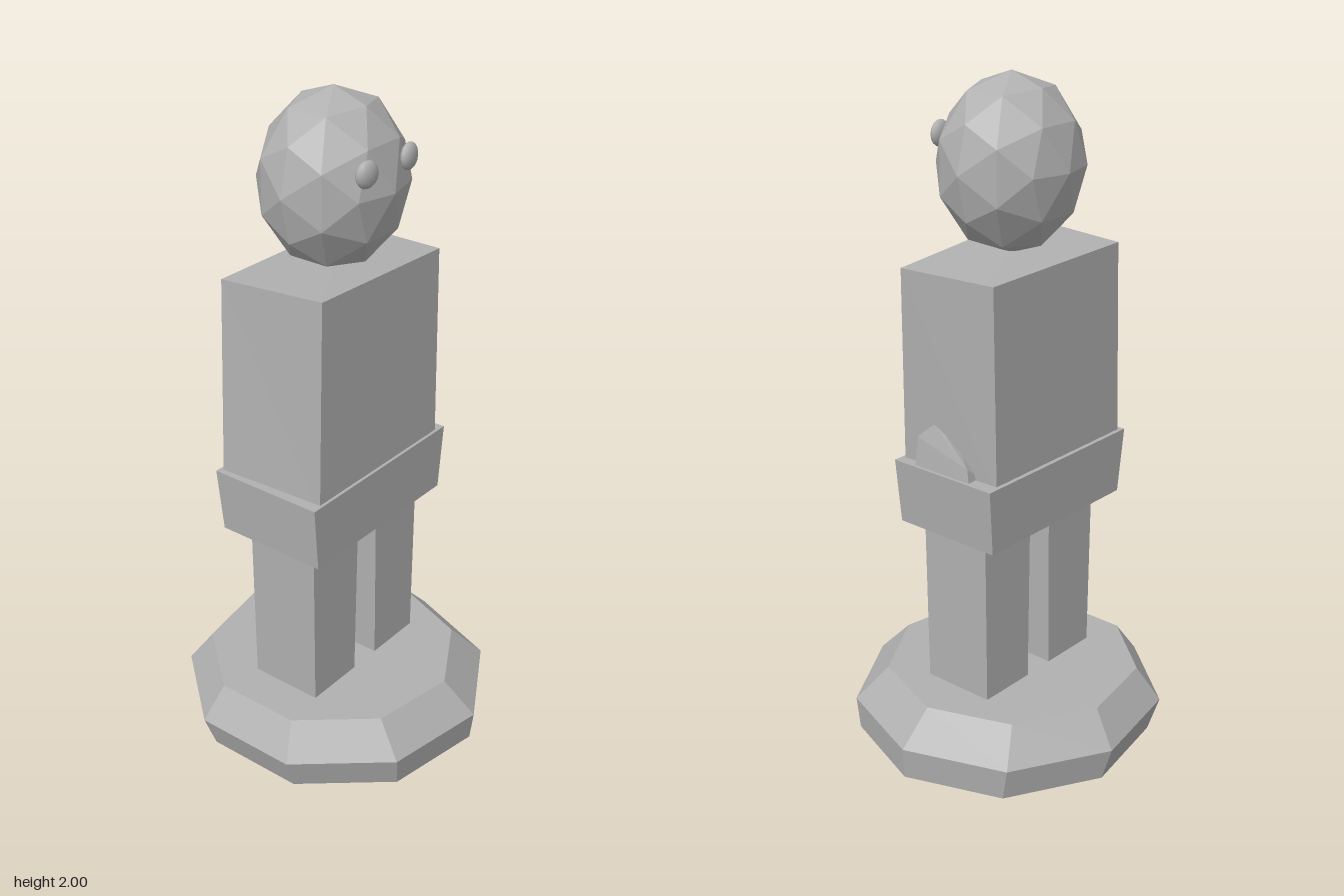
import * as THREE from 'three';
import { ConvexGeometry } from 'three/addons/geometries/ConvexGeometry.js';

// Closed faceted solid from stacked rings of [x, y, z], all with the same corner count,
// ordered from +x round towards +z
function loft(rings) {
  const out = [];
  const tri = (a, b, c) => out.push(...a, ...b, ...c);
  const n = rings[0].length;
  for (let r = 0; r < rings.length - 1; r++) {
    const lo = rings[r], hi = rings[r + 1];
    for (let i = 0; i < n; i++) {
      const j = (i + 1) % n;
      tri(lo[i], hi[i], hi[j]);
      tri(lo[i], hi[j], lo[j]);
    }
  }
  const bottom = rings[0], top = rings[rings.length - 1];
  for (let i = 1; i < n - 1; i++) {
    tri(bottom[0], bottom[i], bottom[i + 1]);
    tri(top[0], top[i + 1], top[i]);
  }
  const geo = new THREE.BufferGeometry();
  geo.setAttribute('position', new THREE.Float32BufferAttribute(out, 3));
  geo.computeVertexNormals();
  return geo;
}

// Rectangular ring at one height
const rect = (x0, x1, y, z0, z1) => [[x1, y, z0], [x1, y, z1], [x0, y, z1], [x0, y, z0]];

// Nine-sided ring at one height, slightly off centre
const ring9 = (radius, y, cx, cz) => Array.from({ length: 9 }, (_, i) => {
  const a = (i * 2 * Math.PI) / 9;
  return [cx + radius * Math.cos(a), y, cz + radius * Math.sin(a)];
});

export function createModel() {
  const group = new THREE.Group();
  const stone = new THREE.MeshStandardMaterial({ color: 0xb0b0b0 });
  stone.name = 'plain grey';
  const add = (name, geo) => {
    const mesh = new THREE.Mesh(geo, stone);
    mesh.name = name;
    group.add(mesh);
    return mesh;
  };

  // Bevelled round plinth
  add('plinth', loft([
    ring9(0.45, 0, 0.005, 0.005),
    ring9(0.473, 0.1, -0.008, 0),
    ring9(0.386, 0.2, -0.02, -0.008),
  ]));

  // Legs
  add('rightLeg', loft([rect(-0.258, -0.068, 0.195, -0.113, 0.115), rect(-0.266, -0.06, 0.74, -0.113, 0.12)]));
  add('leftLeg', loft([rect(0.035, 0.222, 0.195, -0.115, 0.115), rect(0.026, 0.225, 0.74, -0.113, 0.12)]));

  // Wide waist block, narrowing downwards
  add('waist', loft([rect(-0.31, 0.268, 0.715, -0.178, 0.172), rect(-0.328, 0.287, 0.913, -0.185, 0.175)]));

  // Leaning torso with a sloping top
  add('torso', loft([
    [[0.243, 0.88, -0.172], [0.253, 0.88, 0.166], [-0.293, 0.88, 0.166], [-0.312, 0.88, -0.172]],
    [[0.255, 1.49, -0.172], [0.272, 1.485, 0.148], [-0.277, 1.518, 0.165], [-0.29, 1.497, -0.172]],
  ]));

  // Small bulge at the left hip
  const bulge = [
    [0.278, 0.9, 0.105], [0.268, 1.0, 0.1], [0.255, 1.045, 0.05], [0.258, 1.02, 0],
    [0.272, 0.95, -0.09], [0.278, 0.9, -0.1], [0.2, 0.9, 0.105], [0.2, 1.04, 0.04], [0.2, 0.9, -0.1],
  ];
  add('hipBulge', new ConvexGeometry(bulge.map((p) => new THREE.Vector3(...p))));

  // Faceted head
  const head = new THREE.IcosahedronGeometry(1, 1).rotateY(Math.PI / 2).toNonIndexed?.()
    ?? new THREE.IcosahedronGeometry(1, 1);
  head.scale(0.222, 0.253, 0.204).translate(-0.02, 1.747, 0);
  head.computeVertexNormals();
  add('head', head);

  // Flattened eyes, turned outwards with the curve of the face
  for (const side of [-1, 1]) {
    const eye = add(side < 0 ? 'rightEye' : 'leftEye', new THREE.SphereGeometry(0.038, 12, 8));
    eye.scale.z = 0.5;
    eye.rotation.y = side * 0.15;
    eye.position.set(-0.02 + side * 0.091, 1.82, 0.18);
  }
  return group;
}
